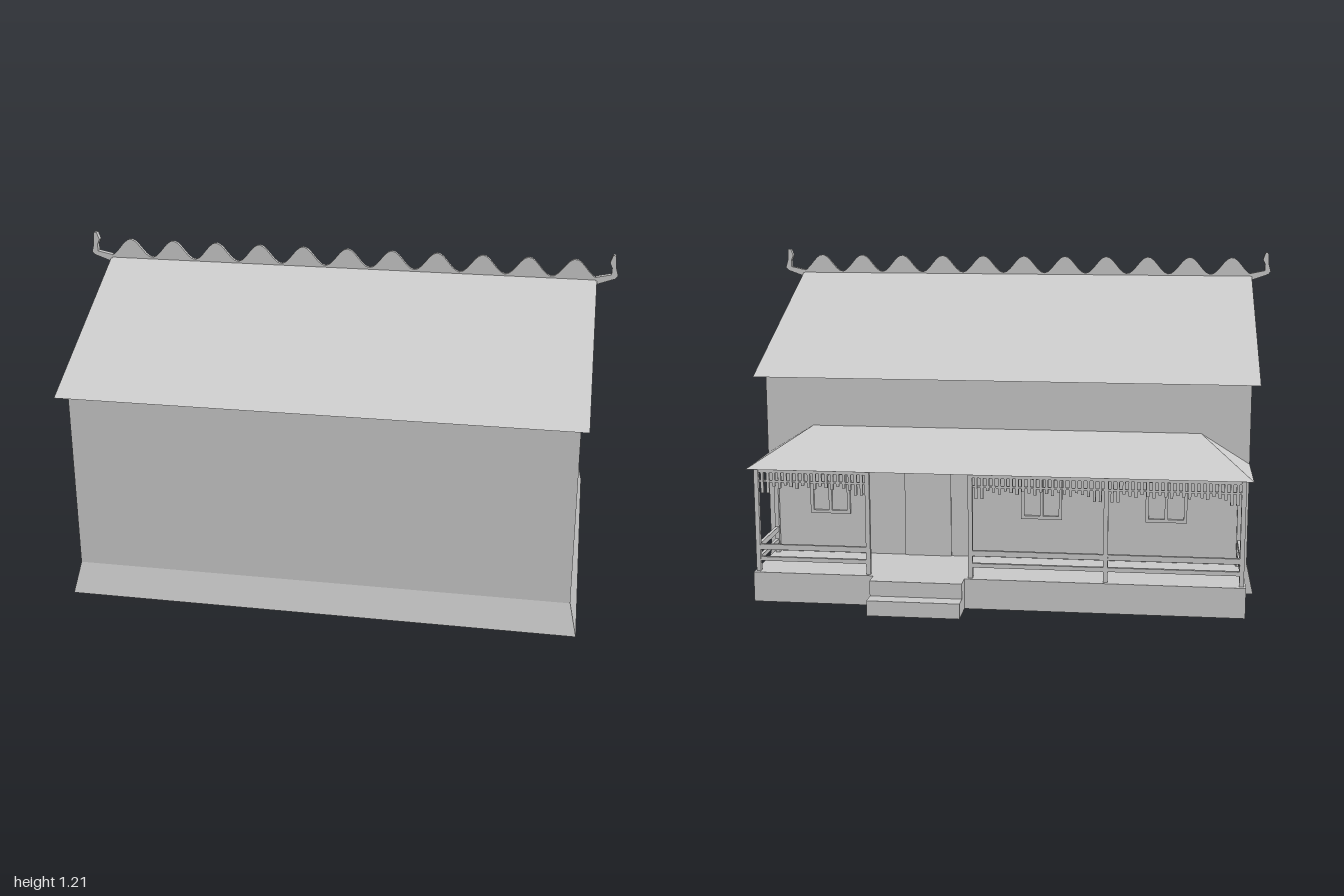
import * as THREE from 'three';
import { ConvexGeometry } from 'three/addons/geometries/ConvexGeometry.js';

const material = new THREE.MeshStandardMaterial({ color: 0xcccccc, flatShading: true, side: THREE.DoubleSide });

function add(parent, name, geometry) {
  const mesh = new THREE.Mesh(geometry, material);
  mesh.name = name;
  parent.add(mesh);
  return mesh;
}

// Box given by its limits on each axis
function box(parent, name, [x0, x1], [y0, y1], [z0, z1]) {
  const g = new THREE.BoxGeometry(x1 - x0, y1 - y0, z1 - z0);
  g.translate((x0 + x1) / 2, (y0 + y1) / 2, (z0 + z1) / 2);
  return add(parent, name, g);
}

const shapeOf = (points) => new THREE.Shape(points.map(([a, b]) => new THREE.Vector2(a, b)));

// Side profile of (z, y) points, extruded along x
function sideExtrude(points, width) {
  const g = new THREE.ExtrudeGeometry(shapeOf(points), { depth: width, bevelEnabled: false });
  return g.rotateY(-Math.PI / 2).translate(width / 2, 0, 0);
}

// Front profile of (x, y) points, as a thin board on the ridge line
function ridgeBoard(points, depth) {
  const g = new THREE.ExtrudeGeometry(shapeOf(points), { depth, bevelEnabled: false });
  return g.translate(0, 0, 0.2 - depth / 2);
}

const hull = (points) => new ConvexGeometry(points.map((p) => new THREE.Vector3(...p)));

function buildHouse(root) {
  const house = new THREE.Group();
  house.name = 'house';
  root.add(house);

  // Flared plinth, flat against the porch
  const plinth = [];
  for (const s of [-1, 1]) {
    plinth.push([s * 0.923, 0, 0.84], [s * 0.923, 0, -0.48], [s * 0.897, 0.115, 0.81], [s * 0.897, 0.115, -0.48]);
  }
  add(house, 'plinth', hull(plinth));

  // Walls with gables
  add(house, 'walls', sideExtrude(
    [[0.81, 0.115], [0.81, 0.79], [0.2, 1.1], [-0.48, 0.79], [-0.48, 0.115]], 1.794));

  // Roof tapering out to horizontal eaves
  add(house, 'roof', sideExtrude(
    [[0.87, 0.79], [0.2, 1.12], [-0.55, 0.79], [-0.48, 0.79], [0.2, 1.1], [0.81, 0.79]], 1.85));

  // Wavy ridge crest
  const crest = [[-0.925, 1.1]];
  const steps = 132;
  for (let i = 0; i <= steps; i++) {
    const x = -0.925 + (1.85 * i) / steps;
    crest.push([x, 1.157 + 0.034 * Math.cos((x * Math.PI * 2) / 0.169)]);
  }
  crest.push([0.925, 1.1]);
  add(house, 'ridgeCrest', ridgeBoard(crest, 0.014));

  // Upturned horns at the ridge ends
  const horn = [[0.92, 1.1], [0.99, 1.125], [1, 1.137], [0.992, 1.165], [0.989, 1.212],
    [0.978, 1.213], [0.968, 1.185], [0.977, 1.165], [0.976, 1.14], [0.92, 1.128]];
  for (const s of [-1, 1]) {
    add(house, 'ridgeHorn', ridgeBoard(horn.map(([x, y]) => [s * x, y]), 0.022));
  }

  // Door and windows under the porch
  box(house, 'door', [0.2, 0.375], [0.11, 0.44], [-0.486, -0.475]);
  for (const x of [-0.6, -0.14, 0.66]) {
    const w = 0.07, y0 = 0.27, y1 = 0.42, t = 0.012, z = [-0.49, -0.475];
    for (const s of [-1, 0, 1]) box(house, 'windowUpright', [x + s * w - t / 2, x + s * w + t / 2], [y0, y1], z);
    for (const y of [y0, y1]) box(house, 'windowRail', [x - w - t / 2, x + w + t / 2], [y - t / 2, y + t / 2], z);
  }
}

function buildPorch(root) {
  const porch = new THREE.Group();
  porch.name = 'porch';
  root.add(porch);
  const frontZ = -0.737, wallZ = -0.495, h = 0.008;

  // Floor and steps
  box(porch, 'porchFloor', [-0.88, 0.88], [0, 0.11], [-0.76, -0.48]);
  box(porch, 'upperStep', [0.11, 0.44], [0, 0.11], [-0.82, -0.76]);
  box(porch, 'lowerStep', [0.11, 0.44], [0, 0.055], [-0.875, -0.82]);

  // Hipped lean-to roof
  const roof = [];
  for (const s of [-1, 1]) {
    roof.push([s * 0.897, 0.49, -0.763], [s * 0.897, 0.49, -0.48], [s * 0.72, 0.6, -0.48]);
  }
  add(porch, 'porchRoof', hull(roof));

  // Posts
  const postXs = [-0.865, -0.39, 0.09, 0.46, 0.865];
  for (const x of postXs) box(porch, 'post', [x - h, x + h], [0.11, 0.49], [frontZ - h, frontZ + h]);
  for (const x of [-0.865, 0.865]) box(porch, 'wallPost', [x - h, x + h], [0.11, 0.49], [wallZ - h, wallZ + h]);

  // Rails on all sides but the entrance
  const rails = [[0.148, 0.163], [0.19, 0.21]];
  const bays = [[0, 1], [1, 2], [3, 4]].map(([a, b]) => [postXs[a], postXs[b]]);
  for (const y of rails) {
    for (const bay of bays) box(porch, 'frontRail', bay, y, [frontZ - 0.006, frontZ + 0.006]);
    for (const x of [-0.865, 0.865]) box(porch, 'sideRail', [x - 0.006, x + 0.006], y, [frontZ, wallZ]);
  }

  // Fretwork of hanging slats, longest beside the posts
  for (const [a, b] of bays) {
    box(porch, 'fretworkBeam', [a, b], [0.475, 0.49], [frontZ - 0.006, frontZ + 0.006]);
    box(porch, 'fretworkBar', [a, b], [0.44, 0.447], [frontZ - 0.004, frontZ + 0.004]);
    const count = Math.round((b - a) / 0.021);
    for (let i = 1; i < count; i++) {
      const x = a + ((b - a) * i) / count;
      const near = Math.min(i, count - i);
      const low = near < 3 ? 0.4 : 0.418 + (i % 3) * 0.006;
      box(porch, 'fretworkSlat', [x - 0.005, x + 0.005], [low, 0.48], [frontZ - 0.005, frontZ + 0.005]);
    }
  }
}

export function createModel() {
  const root = new THREE.Group();
  root.name = 'porchHouse';
  buildHouse(root);
  buildPorch(root);
  return root;
}
